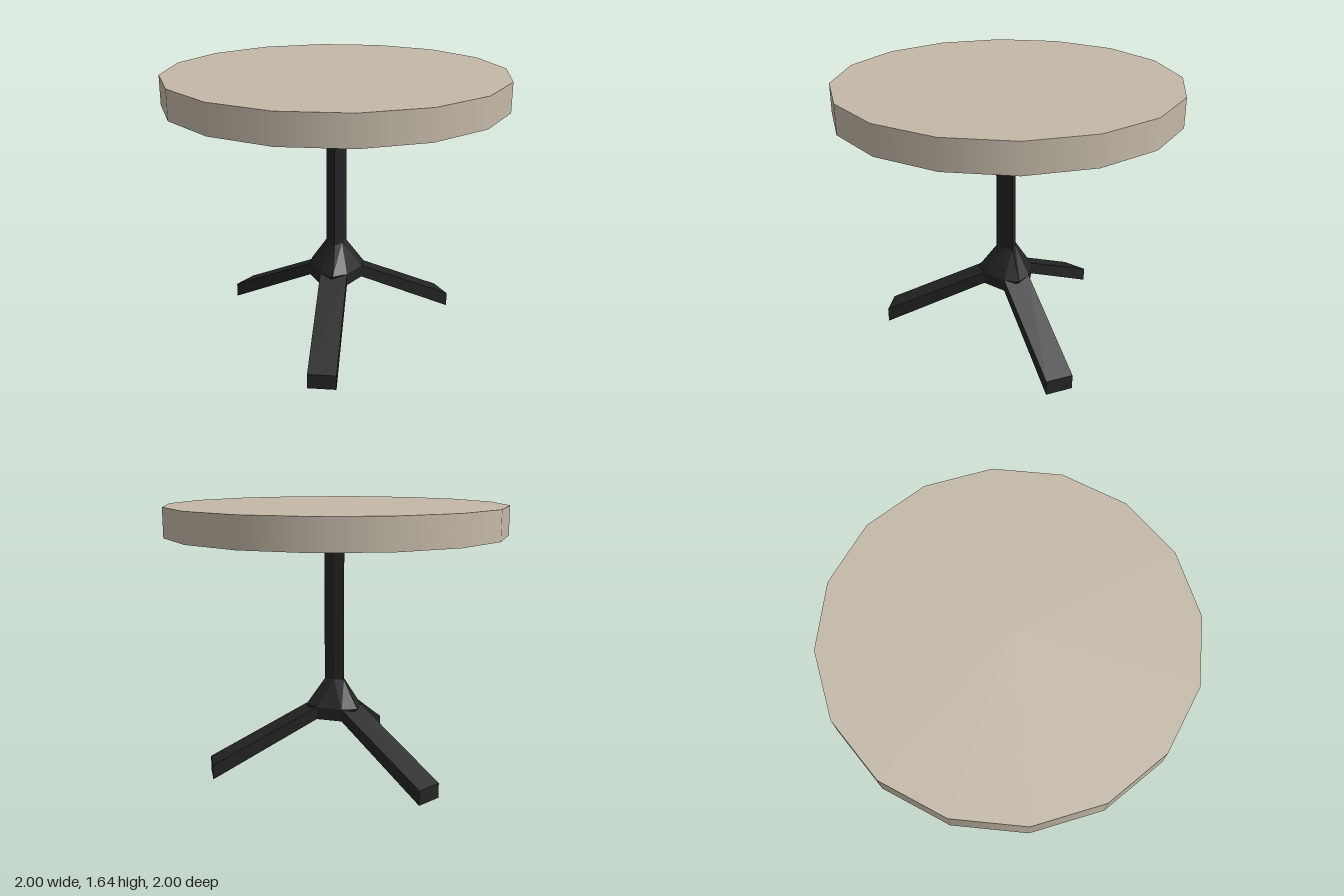
import * as THREE from 'three';

// Flat-shaded skin through rings of equal length, closed at both ends
function loft(rings) {
  const pos = [];
  const tri = (a, b, c) => pos.push(...a, ...b, ...c);
  const n = rings[0].length;
  for (let r = 0; r < rings.length - 1; r++) {
    const a = rings[r], b = rings[r + 1];
    for (let i = 0; i < n; i++) {
      const j = (i + 1) % n;
      tri(a[i], a[j], b[j]);
      tri(a[i], b[j], b[i]);
    }
  }
  const first = rings[0], last = rings[rings.length - 1];
  for (let i = 1; i < n - 1; i++) {
    tri(first[0], first[i + 1], first[i]);
    tri(last[0], last[i], last[i + 1]);
  }
  const g = new THREE.BufferGeometry();
  g.setAttribute('position', new THREE.Float32BufferAttribute(pos, 3));
  g.computeVertexNormals();
  return g;
}

// Repeats a few [x, z] points three times around the y axis
function threefold(points, y) {
  const ring = [];
  for (let k = 0; k < 3; k++) {
    const a = k * Math.PI * 2 / 3, c = Math.cos(a), s = Math.sin(a);
    for (const [x, z] of points) ring.push([x * c + z * s, y, z * c - x * s]);
  }
  return ring;
}

export function createModel() {
  const group = new THREE.Group();
  const topMat = new THREE.MeshStandardMaterial({ color: 0xc4b9a8 });
  const baseMat = new THREE.MeshStandardMaterial({ color: 0x242424 });
  const add = (name, geometry, material) => {
    const mesh = new THREE.Mesh(geometry, material);
    mesh.name = name;
    group.add(mesh);
    return mesh;
  };

  // Sixteen-sided table top, flat sides facing the axes
  const radius = 1 / Math.cos(Math.PI / 16);
  const top = new THREE.CylinderGeometry(radius, radius, 0.175, 16, 1, false, Math.PI / 16);
  add('tableTop', top, topMat).position.y = 1.5575;

  // Column section: a ridge over each leg, a flatter corner between legs
  const mid = [0.047 * Math.sin(Math.PI / 3), 0.047 * Math.cos(Math.PI / 3)];
  const column = [[0, 0.072], mid];
  add('column', loft([threefold(column, 0.575), threefold(column, 1.47)]), baseMat);

  // Hub flares from the column to the roots of the legs
  const w = 0.083, root = 0.14;
  add('hub', loft([
    threefold([[-w, root], [0, root], [w, root]], 0.34),
    threefold([[-w, root], [0, 0.19], [w, root]], 0.415),
    threefold([[-mid[0], mid[1]], [0, 0.072], mid], 0.575),
  ]), baseMat);

  // Three sloping legs with upright ends
  const section = (z, low, high) => [[-w, low, z], [w, low, z], [w, high, z], [-w, high, z]];
  const leg = loft([section(root, 0.34, 0.415), section(0.785, 0, 0.09)]);
  ['frontLeg', 'leftLeg', 'rightLeg'].forEach((name, k) => {
    add(name, leg, baseMat).rotation.y = k * Math.PI * 2 / 3;
  });

  return group;
}
